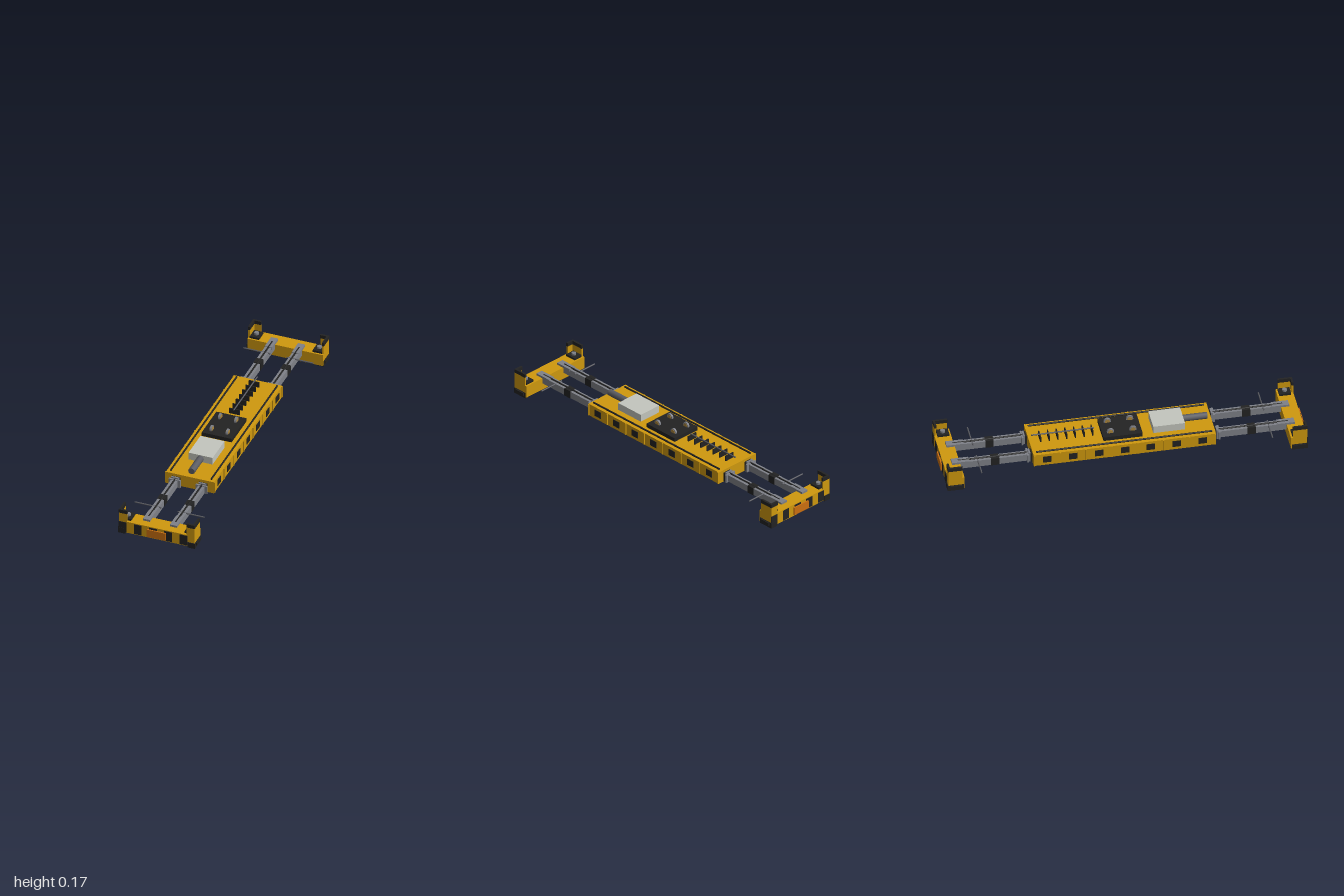
import * as THREE from 'three';

const mat = (name, color) => Object.assign(new THREE.MeshStandardMaterial({ color }), { name });

export function createModel() {
  const yellow = mat('yellow paint', 0xd0990e);
  const black = mat('black', 0x232323);
  const steel = mat('steel grey', 0x7f8188);
  const darkSteel = mat('dark steel', 0x5c5d63);
  const white = mat('cabinet white', 0xc4c6be);
  const orange = mat('orange', 0xcc7010);
  const tan = mat('hub tan', 0xa8843c);

  const model = new THREE.Group();
  model.name = 'containerSpreader';

  const add = (parent, name, geometry, material, x, y, z) => {
    const mesh = new THREE.Mesh(geometry, material);
    mesh.name = name;
    mesh.position.set(x, y, z);
    parent.add(mesh);
    return mesh;
  };
  // box given by its limits on each axis
  const box = (parent, name, material, [x0, x1], [y0, y1], [z0, z1]) =>
    add(parent, name, new THREE.BoxGeometry(x1 - x0, y1 - y0, z1 - z0), material,
      (x0 + x1) / 2, (y0 + y1) / 2, (z0 + z1) / 2);
  // cylinder along a chosen axis
  const rod = (parent, name, material, r, length, axis, x, y, z, sides = 12) => {
    const g = new THREE.CylinderGeometry(r, r, length, sides);
    if (axis === 'x') g.rotateZ(Math.PI / 2);
    if (axis === 'z') g.rotateX(Math.PI / 2);
    return add(parent, name, g, material, x, y, z);
  };
  const group = (name) => {
    const g = new THREE.Group();
    g.name = name;
    model.add(g);
    return g;
  };

  // Main frame with side ribs, dark side pockets and top hoses
  const frame = group('mainFrame');
  box(frame, 'frameBody', yellow, [-0.14, 0.14], [0.05, 0.122], [-0.503, 0.503]);
  for (const s of [-1, 1]) {
    for (let i = -3; i <= 3; i++) {
      add(frame, 'sidePocket', new THREE.BoxGeometry(0.006, 0.038, 0.046), black, s * 0.14, 0.087, i * 0.143);
    }
    for (let i = -3.5; i <= 3.5; i++) {
      add(frame, 'sideRib', new THREE.BoxGeometry(0.01, 0.068, 0.007), yellow, s * 0.14, 0.086, i * 0.1425);
    }
    rod(frame, 'topHose', black, 0.005, 0.97, 'z', s * 0.118, 0.127, 0, 8);
  }

  // Control cabinet and motor
  box(frame, 'controlCabinet', white, [-0.07, 0.07], [0.122, 0.165], [0.17, 0.345]);
  rod(frame, 'motor', darkSteel, 0.019, 0.135, 'z', 0, 0.145, 0.4125, 12);

  // Sheave platform
  const platform = group('sheavePlatform');
  box(platform, 'platformPlate', black, [-0.087, 0.087], [0.122, 0.145], [-0.108, 0.108]);
  for (const x of [-0.047, 0.047]) for (const z of [-0.062, 0.062]) {
    rod(platform, 'sheave', steel, 0.02, 0.011, 'x', x, 0.15, z, 16);
    rod(platform, 'sheaveHub', tan, 0.014, 0.016, 'x', x, 0.15, z, 12);
  }

  // Cable chain: a spine with cross fins
  const chain = group('cableChain');
  rod(chain, 'chainSpine', darkSteel, 0.004, 0.345, 'z', 0, 0.153, -0.317, 8);
  for (let i = 0; i < 7; i++) {
    const z = -0.155 - i * 0.048;
    box(chain, 'chainFin', black, [-0.03, 0.03], [0.122, 0.154], [z - 0.003, z + 0.003]);
  }

  // Both ends are alike: build the +z end and turn a copy around
  const end = new THREE.Group();
  end.name = 'frontEnd';

  // End beam with hazard stripes and a marker plate
  box(end, 'endBeam', yellow, [-0.22, 0.22], [0.021, 0.092], [0.9, 0.99]);
  for (let i = 0; i < 5; i++) {
    const x = -0.221 + i * 0.0885;
    box(end, 'hazardStripe', black, [x, x + 0.045], [0.026, 0.087], [0.988, 0.993]);
  }
  box(end, 'markerPlate', orange, [-0.055, 0.055], [0.03, 0.077], [0.992, 1.0]);

  for (const s of [-1, 1]) {
    const span = (a, b) => (s > 0 ? [a, b] : [-b, -a]);

    // Telescopic arm
    box(end, 'armBeam', steel, span(0.06, 0.098), [0.06, 0.1], [0.49, 0.92]);
    box(end, 'armBand', black, span(0.058, 0.1), [0.058, 0.103], [0.685, 0.73]);
    box(end, 'armSeal', black, span(0.054, 0.104), [0.055, 0.106], [0.5, 0.513]);
    box(end, 'armCollar', steel, span(0.057, 0.101), [0.054, 0.111], [0.513, 0.523]);
    box(end, 'armCollarFlange', steel, span(0.045, 0.112), [0.056, 0.104], [0.523, 0.533]);
    rod(end, 'armHose', black, 0.005, 0.41, 'z', s * 0.078, 0.101, 0.705, 8);
    box(end, 'armMount', steel, span(0.058, 0.099), [0.09, 0.104], [0.85, 0.945]);
    rod(end, 'crossRod', darkSteel, 0.004, 0.155, 'x', s * 0.125, 0.097, 0.802, 8);

    // Corner guide: two plates meeting at the outer corner, with black tips
    box(end, 'guideEndPlate', yellow, span(0.173, 0.22), [0.085, 0.142], [0.98, 0.99]);
    box(end, 'guideSidePlate', yellow, span(0.21, 0.22), [0.085, 0.142], [0.912, 0.98]);
    box(end, 'guideEndTip', black, span(0.172, 0.221), [0.142, 0.163], [0.979, 0.991]);
    box(end, 'guideSideTip', black, span(0.209, 0.221), [0.142, 0.163], [0.911, 0.979]);

    // Twistlock housing, actuator and pin
    box(end, 'lockHousing', black, span(0.156, 0.21), [0.092, 0.104], [0.91, 0.975]);
    rod(end, 'lockActuator', steel, 0.013, 0.012, 'y', s * 0.183, 0.11, 0.943, 12);
    box(end, 'cornerCasting', black, span(0.18, 0.223), [0.015, 0.048], [0.905, 0.994]);
    box(end, 'cornerLug', black, span(0.22, 0.23), [0.03, 0.046], [0.915, 0.98]);
    box(end, 'lockBase', black, span(0.158, 0.2), [0.014, 0.022], [0.915, 0.975]);
    rod(end, 'lockCollar', steel, 0.015, 0.006, 'y', s * 0.177, 0.012, 0.945, 12);
    const pin = new THREE.CylinderGeometry(0.009, 0.002, 0.011, 10);
    add(end, 'lockPin', pin, steel, s * 0.177, 0.0055, 0.945);
  }
  model.add(end);
  const back = end.clone();
  back.name = 'backEnd';
  back.rotation.y = Math.PI;
  model.add(back);

  return model;
}
